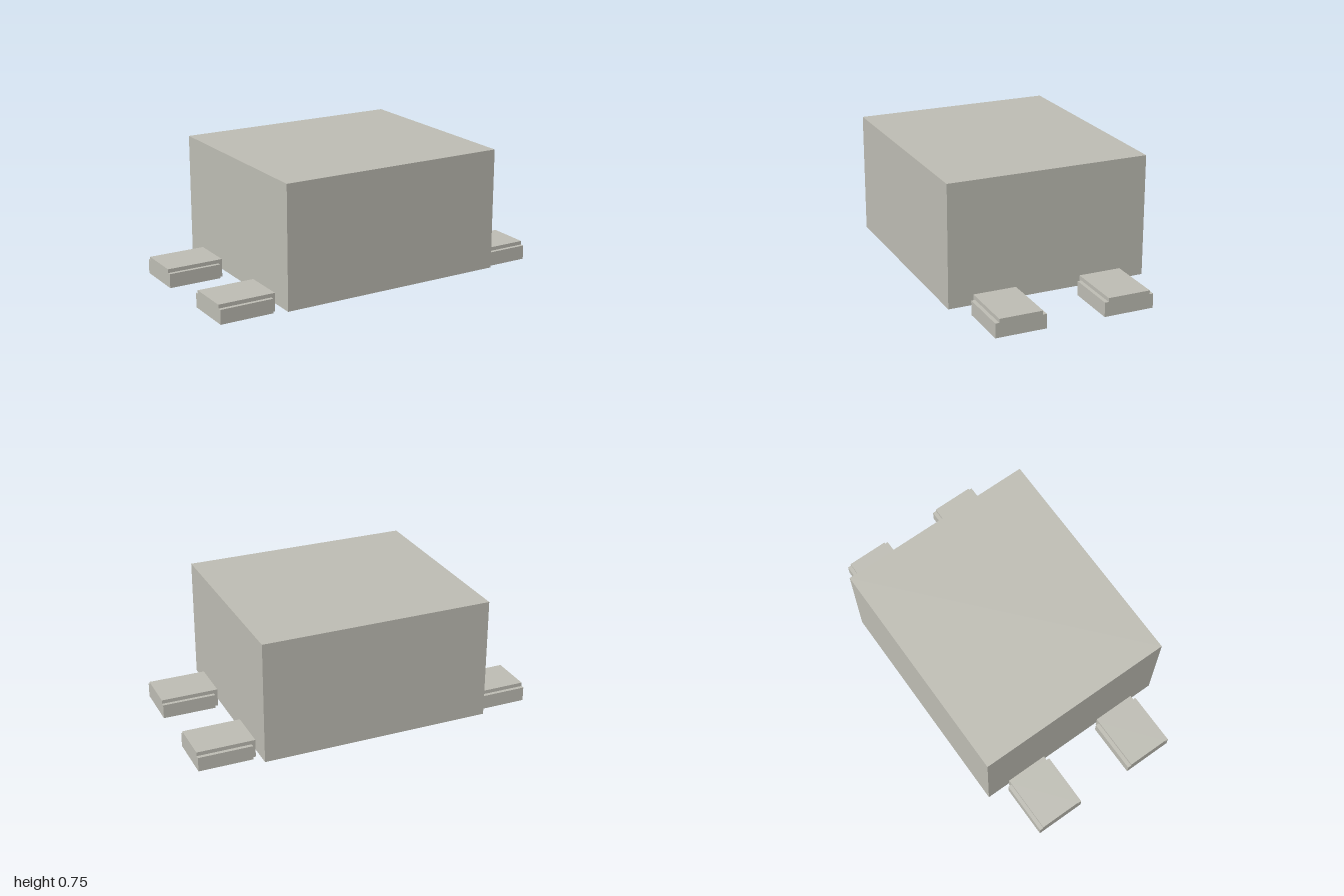
import * as THREE from 'three';

export function createModel() {
  const model = new THREE.Group();
  model.name = 'boxWithFeet';
  const grey = new THREE.MeshStandardMaterial({ color: 0xbdbcb3 });
  grey.name = 'warm grey';

  // Main body
  const body = new THREE.Mesh(new THREE.BoxGeometry(1.33, 0.7, 1.168), grey);
  body.name = 'body';
  body.position.y = 0.395;
  model.add(body);

  // Stepped foot section: a wide base with a narrower top
  const w = 0.146, n = 0.124, step = 0.083, h = 0.105;
  const profile = new THREE.Shape([
    [-w, 0], [w, 0], [w, step], [n, step], [n, h], [-n, h], [-n, step], [-w, step],
  ].map(([x, y]) => new THREE.Vector2(x, y)));
  const padGeometry = new THREE.ExtrudeGeometry(profile, { depth: 0.313, bevelEnabled: false });
  const neckGeometry = new THREE.BoxGeometry(2 * n, h, 0.022);

  // Four feet, two on each side, each joined to the body by a narrow neck
  for (const side of [1, -1]) {
    for (const end of [1, -1]) {
      const foot = new THREE.Group();
      foot.name = (end > 0 ? 'front' : 'back') + (side > 0 ? 'Left' : 'Right') + 'Foot';
      const pad = new THREE.Mesh(padGeometry, grey);
      pad.name = 'footPad';
      pad.position.z = 0.687;
      const neck = new THREE.Mesh(neckGeometry, grey);
      neck.name = 'footNeck';
      neck.position.set(0, h / 2, 0.676);
      foot.add(pad, neck);
      foot.rotation.y = side * Math.PI / 2;
      foot.position.z = end * 0.316;
      model.add(foot);
    }
  }
  return model;
}
